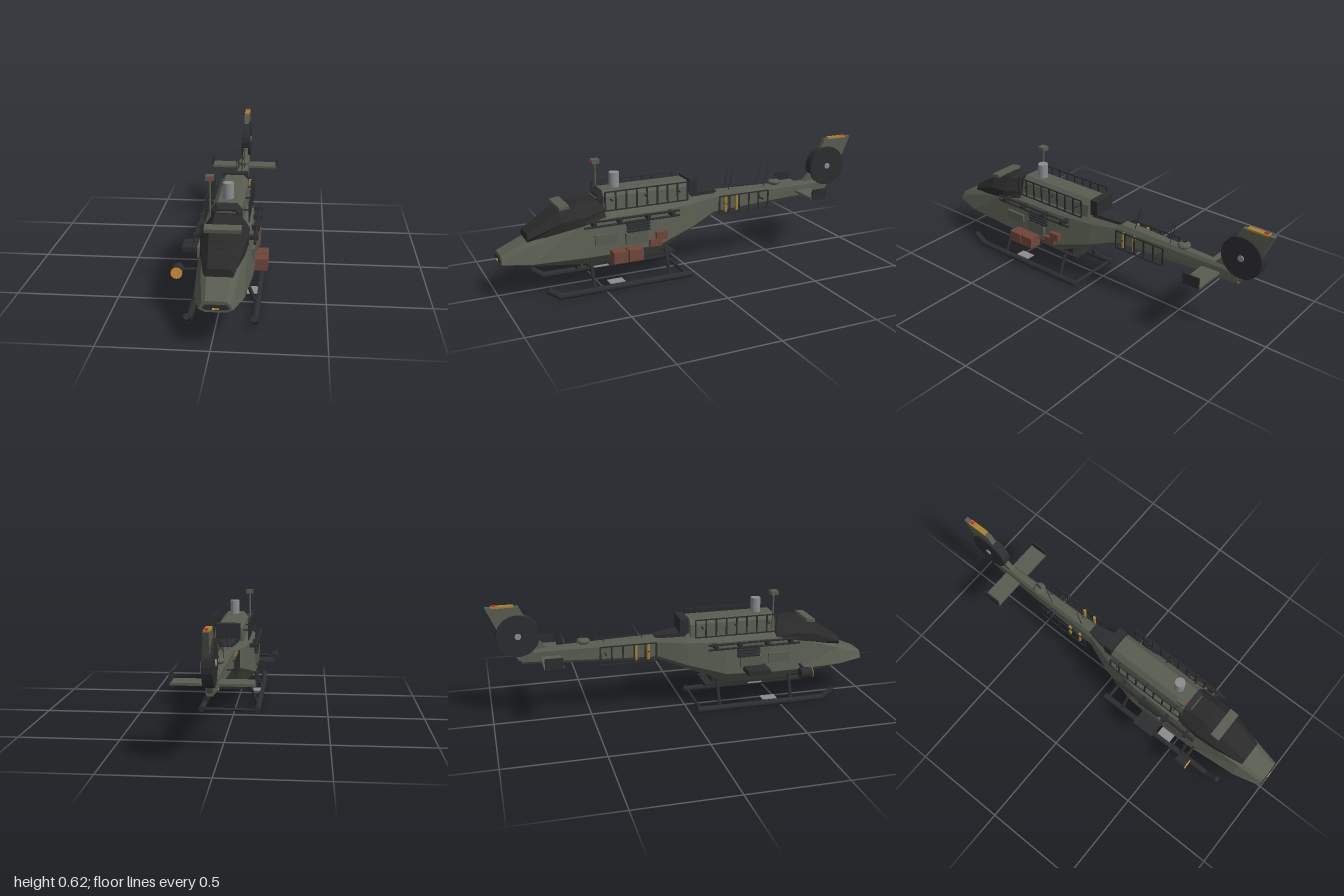
import * as THREE from 'three';

export function createModel() {
  const model = new THREE.Group();
  model.name = 'helicopter';
  const craft = new THREE.Group();
  craft.name = 'airframe';
  craft.position.x = 0.025; // side equipment makes the outline lopsided
  model.add(craft);

  const mat = (name, color) => {
    const m = new THREE.MeshStandardMaterial({ color, flatShading: true });
    m.name = name;
    return m;
  };
  const olive = mat('olive paint', 0x585c50);
  const dark = mat('dark metal', 0x2c2d2f);
  const glass = mat('tinted canopy', 0x292a29);
  const grey = mat('bare metal', 0x8b8c8e);
  const brown = mat('brown canvas', 0x70463a);
  const amber = mat('amber lens', 0xd6953a);
  const ochre = mat('ochre marking', 0xa9822f);
  const red = mat('red lamp', 0xd42424);

  const add = (name, geo, m) => {
    const mesh = new THREE.Mesh(geo, m);
    mesh.name = name;
    craft.add(mesh);
    return mesh;
  };
  // Box given by its limits on each axis
  const box = (name, m, x0, x1, y0, y1, z0, z1) => {
    const mesh = add(name, new THREE.BoxGeometry(Math.abs(x1 - x0), y1 - y0, z1 - z0), m);
    mesh.position.set((x0 + x1) / 2, (y0 + y1) / 2, (z0 + z1) / 2);
    return mesh;
  };
  // Round bar between two points
  const bar = (name, m, a, b, r, sides = 8) => {
    const p = new THREE.Vector3(...a), q = new THREE.Vector3(...b);
    const mesh = add(name, new THREE.CylinderGeometry(r, r, p.distanceTo(q), sides), m);
    mesh.position.copy(p).add(q).multiplyScalar(0.5);
    mesh.quaternion.setFromUnitVectors(new THREE.Vector3(0, 1, 0), q.sub(p).normalize());
    return mesh;
  };
  // Mirrored loft; each station is [z, halfWidth, y, halfWidth, y, ...] from bottom to top, front to back
  const loft = (name, m, stations) => {
    const rings = stations.map(([z, ...s]) => {
      const right = [];
      for (let i = 0; i < s.length; i += 2) right.push([s[i], s[i + 1], z]);
      return [...right, ...right.map(([x, y]) => [-x, y, z]).reverse()];
    });
    const n = rings[0].length, pos = [];
    const tri = (...pts) => pts.forEach((p) => pos.push(...p));
    for (let i = 0; i + 1 < rings.length; i++) {
      const a = rings[i], b = rings[i + 1];
      for (let j = 0; j < n; j++) {
        const k = (j + 1) % n;
        tri(a[j], b[j], b[k]);
        tri(a[j], b[k], a[k]);
      }
    }
    const f = rings[0], e = rings[rings.length - 1];
    for (let j = 1; j + 1 < n; j++) {
      tri(f[0], f[j], f[j + 1]);
      tri(e[0], e[j + 1], e[j]);
    }
    const geo = new THREE.BufferGeometry();
    geo.setAttribute('position', new THREE.Float32BufferAttribute(pos, 3));
    geo.computeVertexNormals();
    return add(name, geo, m);
  };

  // Hull and tail boom
  loft('fuselage', olive, [
    [0.99, 0.045, 0.185, 0.074, 0.198, 0.06, 0.222, 0.045, 0.235],
    [0.85, 0.055, 0.163, 0.11, 0.19, 0.08, 0.272, 0.055, 0.293],
    [0.6, 0.075, 0.14, 0.132, 0.19, 0.105, 0.35, 0.06, 0.40],
    [0.45, 0.08, 0.135, 0.135, 0.19, 0.112, 0.37, 0.06, 0.415],
    [0.2, 0.08, 0.145, 0.13, 0.20, 0.11, 0.37, 0.06, 0.42],
    [0, 0.05, 0.225, 0.092, 0.255, 0.08, 0.37, 0.05, 0.415],
    [-0.14, 0.028, 0.28, 0.045, 0.30, 0.04, 0.375, 0.025, 0.402],
    [-0.84, 0.012, 0.313, 0.02, 0.325, 0.02, 0.372, 0.012, 0.385],
  ]);
  loft('noseCap', dark, [
    [0.995, 0.04, 0.197, 0.06, 0.204, 0.045, 0.22],
    [0.985, 0.04, 0.197, 0.06, 0.204, 0.045, 0.22],
  ]);
  box('noseLamp', amber, -0.014, 0.014, 0.201, 0.206, 0.99, 1);
  loft('chinSensor', dark, [[0.89, 0.015, 0.155, 0.03, 0.175], [0.82, 0.015, 0.148, 0.03, 0.175]]);

  // Canopy with wiper slats and sunshade
  loft('canopy', glass, [
    [0.86, 0.055, 0.282, 0.068, 0.30, 0.05, 0.325],
    [0.70, 0.1, 0.325, 0.1, 0.37, 0.06, 0.425],
    [0.60, 0.112, 0.345, 0.11, 0.385, 0.052, 0.452],
    [0.48, 0.108, 0.375, 0.09, 0.405, 0.055, 0.448],
  ]);
  for (let i = 0; i < 3; i++) {
    const y = 0.352 + i * 0.023;
    box('canopySlat', dark, -0.052, 0.05, y, y + 0.008, 0.785 - i * 0.035, 0.805 - i * 0.035);
  }
  box('sunshade', olive, -0.083, 0.083, 0.432, 0.449, 0.655, 0.705).rotation.x = 0.15;

  // Engine housing, intake and exhaust
  loft('engineHousing', olive, [
    [0.48, 0.078, 0.40, 0.07, 0.465, 0.045, 0.492],
    [0.02, 0.078, 0.40, 0.07, 0.465, 0.045, 0.492],
  ]);
  loft('engineIntake', dark, [
    [0.505, 0.06, 0.41, 0.058, 0.455, 0.04, 0.472],
    [0.478, 0.076, 0.41, 0.072, 0.468, 0.05, 0.495],
  ]);
  for (const y of [0.435, 0.455]) box('intakeSlat', olive, -0.045, 0.045, y, y + 0.006, 0.5, 0.51);
  box('exhaust', dark, -0.0625, 0.0625, 0.415, 0.498, -0.032, 0.012);
  loft('rearDeck', dark, [
    [0, 0.058, 0.40, 0.058, 0.424],
    [-0.16, 0.025, 0.39, 0.025, 0.41],
  ]);
  bar('topCylinder', grey, [0, 0.48, 0.395], [0, 0.567, 0.395], 0.026, 16);

  // Open rail frames beside the engine and the boom
  const railing = (name, x, y0, y1, z0, z1, posts) => {
    for (const y of [y0, y1]) box(name + 'Bar', dark, x - 0.0025, x + 0.0025, y - 0.003, y + 0.003, z0, z1);
    for (let i = 0; i < posts; i++) {
      const z = z0 + ((z1 - z0) * i) / (posts - 1);
      box(name + 'Post', dark, x - 0.0025, x + 0.0025, y0, y1, z - 0.004, z + 0.004);
    }
  };
  for (const s of [-1, 1]) {
    railing('engineRail', s * 0.1025, 0.404, 0.498, 0.04, 0.48, 9);
    for (const z of [0.08, 0.26, 0.44]) bar('railBracket', dark, [s * 0.07, 0.45, z], [s * 0.1025, 0.45, z], 0.004, 6);
    railing('boomRail', s * 0.07, 0.29, 0.385, -0.45, -0.16, 6);
    for (const z of [-0.2, -0.42]) bar('boomBracket', dark, [s * 0.03, 0.34, z], [s * 0.07, 0.34, z], 0.004, 6);
    for (const z of [-0.2, -0.265]) bar('boomCanister', ochre, [s * 0.06, 0.298, z], [s * 0.06, 0.382, z], 0.008);

    // Stowed poles and clamps
    for (const y of [0.343, 0.368]) bar('stowedPole', dark, [s * 0.138, y, 0.1], [s * 0.138, y, 0.6], 0.006);
    for (const z of [0.14, 0.27, 0.42, 0.55]) box('poleClamp', dark, s * 0.1, s * 0.152, 0.345, 0.366, z - 0.009, z + 0.009);

    // Side vents and hatches
    for (let i = 0; i < 4; i++) box('ventSlat', dark, s * 0.118, s * 0.14, 0.288 + i * 0.016, 0.296 + i * 0.016, 0.26, 0.38);
    box('frontHatch', olive, s * 0.115, s * 0.134, 0.243, 0.295, 0.43, 0.545);
    box('rearHatch', olive, s * 0.115, s * 0.142, 0.228, 0.288, 0.275, 0.39);

    // Landing skid with raised toe, struts and step
    bar('skid', dark, [s * 0.15, 0.022, 0.04], [s * 0.15, 0.022, 0.745], 0.016, 12);
    bar('skidToe', dark, [s * 0.15, 0.022, 0.735], [s * 0.15, 0.066, 0.8], 0.016, 12);
    for (const z of [0.16, 0.56]) bar('skidStrut', dark, [s * 0.09, 0.16, z], [s * 0.148, 0.025, z], 0.009);
    box('step', grey, s * 0.095, s * 0.145, 0.038, 0.043, 0.4, 0.48);

    // Tailplane end plates
    box('endPlate', dark, s * 0.186, s * 0.194, 0.335, 0.392, -0.74, -0.65);
  }
  bar('rearCrossTube', dark, [-0.15, 0.018, 0.06], [0.15, 0.018, 0.06], 0.009);
  box('bellyPlate', dark, -0.08, 0.08, 0.122, 0.134, 0.1, 0.57);
  box('bellyMount', dark, -0.06, 0.06, 0.13, 0.18, 0.14, 0.5);
  box('bellyLamp', red, -0.012, 0.012, 0.11, 0.123, 0.205, 0.235);

  // Tailplane, fin and shrouded tail rotor
  box('tailplane', olive, -0.19, 0.19, 0.336, 0.348, -0.745, -0.647);
  const finShape = new THREE.Shape([
    [0.69, 0.365], [0.75, 0.43], [0.838, 0.612], [1, 0.617], [0.93, 0.46], [0.85, 0.33],
  ].map(([x, y]) => new THREE.Vector2(x, y)));
  const fin = add('tailFin', new THREE.ExtrudeGeometry(finShape, { depth: 0.026, bevelEnabled: false }), olive);
  fin.rotation.y = Math.PI / 2;
  fin.position.x = -0.013;
  bar('tailRotorShroud', dark, [-0.024, 0.463, -0.85], [0.024, 0.463, -0.85], 0.107, 24);
  bar('tailRotorHub', grey, [-0.029, 0.463, -0.85], [0.029, 0.463, -0.85], 0.016, 10);
  box('finStripe', ochre, -0.014, 0.014, 0.611, 0.62, -0.97, -0.86);
  box('finLamp', red, -0.006, 0.006, 0.618, 0.626, -0.965, -0.945);

  // Whip aerials and dome on the boom
  for (const [x, z] of [[-0.015, -0.22], [0.015, -0.235], [-0.015, -0.42], [0.015, -0.45]]) {
    bar('whipAerial', dark, [x, 0.385, z], [x, 0.50, z - 0.03], 0.002, 5);
  }
  const dome = add('boomDome', new THREE.SphereGeometry(0.034, 12, 8), olive);
  dome.scale.y = 0.5;
  dome.position.set(0, 0.405, -0.525);
  bar('domeAerial', dark, [0, 0.41, -0.5], [0, 0.432, -0.54], 0.005, 6);

  // Sensor mast
  bar('mast', olive, [-0.08, 0.41, 0.465], [-0.08, 0.605, 0.465], 0.005);
  box('mastHead', olive, -0.1, -0.06, 0.6, 0.621, 0.445, 0.485);
  box('mastLens', red, -0.09, -0.07, 0.607, 0.615, 0.48, 0.49);

  // Searchlight and equipment shelf on the right
  bar('searchlight', dark, [-0.218, 0.202, 0.575], [-0.218, 0.202, 0.637], 0.028, 12);
  bar('searchlightLens', amber, [-0.218, 0.202, 0.636], [-0.218, 0.202, 0.641], 0.0275, 12);
  bar('searchlightArm', dark, [-0.2, 0.21, 0.61], [-0.11, 0.215, 0.61], 0.007);
  box('sideShelf', dark, -0.226, -0.11, 0.214, 0.239, 0.29, 0.41);

  // Stowage packs on the left
  for (const z of [0.32, 0.4]) box('sidePack', brown, 0.125, 0.193, 0.158, 0.215, z, z + 0.073);
  box('lowerPouch', brown, 0.1, 0.146, 0.2, 0.236, 0.2, 0.265);
  box('upperPouch', brown, 0.1, 0.146, 0.23, 0.27, 0.17, 0.228);

  return model;
}
